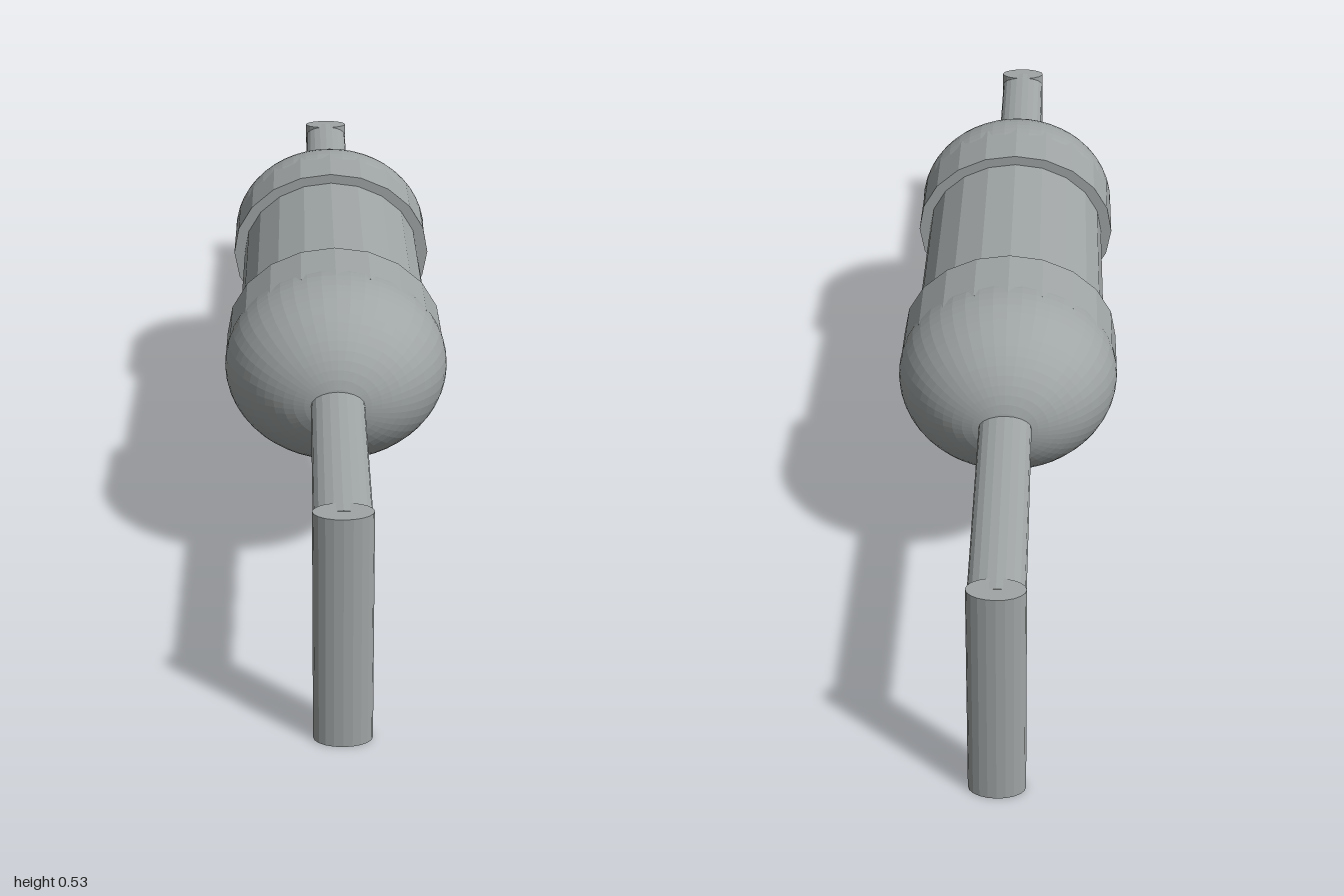
import * as THREE from 'three';

export function createModel() {
  const model = new THREE.Group();
  const metal = new THREE.MeshStandardMaterial({ color: 0xa0a5a5, flatShading: true });
  metal.name = 'grey metal';
  const axisY = 0.363;

  function add(name, geometry, x, y, z) {
    const mesh = new THREE.Mesh(geometry, metal);
    mesh.name = name;
    mesh.position.set(x, y, z);
    model.add(mesh);
  }

  // Elliptical rod lying along z
  function rod(rx, ry, length, sides) {
    return new THREE.CylinderGeometry(1, 1, length, sides)
      .rotateX(Math.PI / 2)
      .scale(rx, ry, 1);
  }

  // Slim central barrel, slightly forward of the middle
  add('barrel', rod(0.172, 0.145, 0.46, 20), 0, axisY, 0.0275);

  for (const side of [1, -1]) {
    const end = side > 0 ? 'front' : 'back';
    const at = (d) => 0.0275 + side * d;

    // Wider sleeve and rounded cap
    add(end + 'Sleeve', rod(0.193, 0.163, 0.135, 20), 0, axisY, at(0.275));
    const dome = new THREE.SphereGeometry(1, 48, 32).rotateX(Math.PI / 2).scale(0.193, 0.163, 0.19);
    add(end + 'Dome', dome, 0, axisY, at(0.3425));

    // Horizontal wire, then the leg bent down to the ground
    add(end + 'Wire', rod(0.045, 0.027, 0.533, 20), 0, 0.364, side * 0.7065);
    const leg = new THREE.CylinderGeometry(1, 1, 0.39, 20).scale(0.046, 1, 0.027);
    add(end + 'Leg', leg, 0, 0.195, side * 0.973);
  }
  return model;
}
